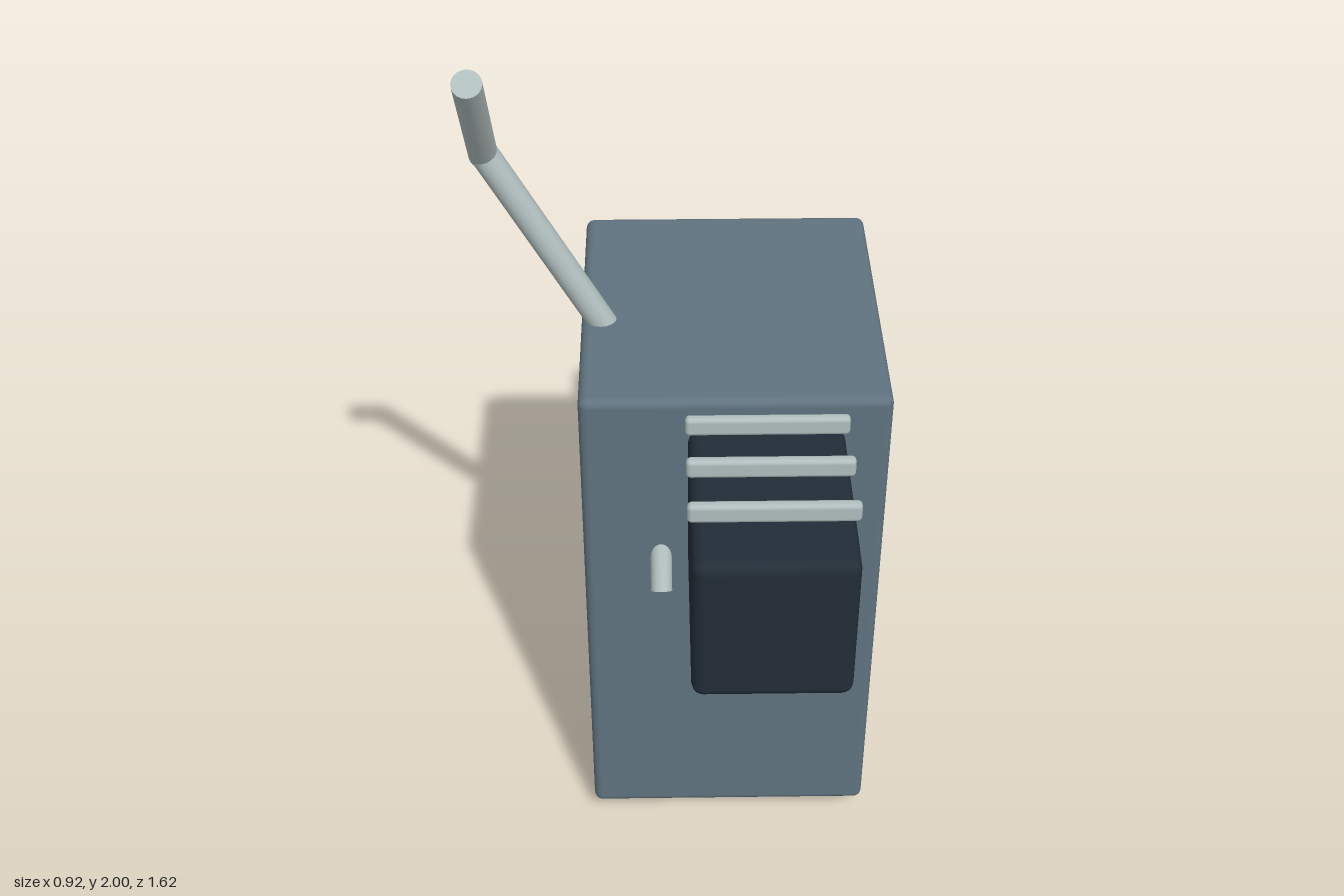
import * as THREE from 'three';
import { RoundedBoxGeometry } from 'three/addons/geometries/RoundedBoxGeometry.js';

function material(name, color) {
  const m = new THREE.MeshStandardMaterial({ color });
  m.name = name;
  return m;
}

export function createModel() {
  const group = new THREE.Group();
  const slate = material('slate', 0x60737f);
  const dark = material('darkNavy', 0x222d37);
  const metal = material('paleMetal', 0xb0bebd);
  const pink = material('pink', 0xd07f9f);

  // Softly bevelled box given by its extents on each axis
  function block(name, mat, [x0, x1], [y0, y1], [z0, z1], bevel) {
    const geo = new RoundedBoxGeometry(x1 - x0, y1 - y0, z1 - z0, 2, bevel);
    const mesh = new THREE.Mesh(geo, mat);
    mesh.position.set((x0 + x1) / 2, (y0 + y1) / 2, (z0 + z1) / 2);
    mesh.name = name;
    group.add(mesh);
  }

  // Straight round rod between two points
  function rod(name, from, to, radius) {
    const a = new THREE.Vector3(...from), b = new THREE.Vector3(...to);
    const dir = b.clone().sub(a);
    const mesh = new THREE.Mesh(new THREE.CylinderGeometry(radius, radius, dir.length(), 20), metal);
    mesh.position.copy(a).add(b).multiplyScalar(0.5);
    mesh.quaternion.setFromUnitVectors(new THREE.Vector3(0, 1, 0), dir.normalize());
    mesh.name = name;
    group.add(mesh);
  }

  // Main case and its side strip
  block('body', slate, [-0.238, 0.43], [0.045, 1.305], [-0.356, 0.384], 0.02);
  block('sideStrip', pink, [0.42, 0.455], [0.34, 0.71], [0.03, 0.074], 0.008);

  // Front box with ribs across its top
  block('frontBox', dark, [-0.005, 0.33], [0.86, 1.225], [0.36, 0.81], 0.025);
  for (const z of [0.39, 0.53, 0.67]) {
    block('topRib', metal, [-0.012, 0.338], [1.225, 1.27], [z - 0.0125, z + 0.0125], 0.01);
  }

  // Back plate, mounting plate and the two plug prongs
  block('backPlate', dark, [-0.238, 0.43], [0, 1.2], [-0.443, -0.38], 0.018);
  block('mountingPlate', dark, [-0.13, 0.322], [0.765, 1.002], [-0.5, -0.435], 0.015);
  for (const x of [-0.052, 0.24]) {
    block('prongBase', slate, [x - 0.033, x + 0.033], [0.823, 0.942], [-0.607, -0.48], 0.014);
    block('prong', metal, [x - 0.02, x + 0.02], [0.86, 0.906], [-0.81, -0.59], 0.008);
  }

  // Bent aerial
  rod('aerialLower', [-0.17, 1.26, 0.077], [-0.43, 1.725, 0.066], 0.031);
  rod('aerialUpper', [-0.43, 1.715, 0.06], [-0.43, 1.982, 0.258], 0.031);

  // Small downward spout on the front
  rod('spout', [-0.065, 0.9, 0.36], [-0.065, 0.807, 0.427], 0.024);

  return group;
}
